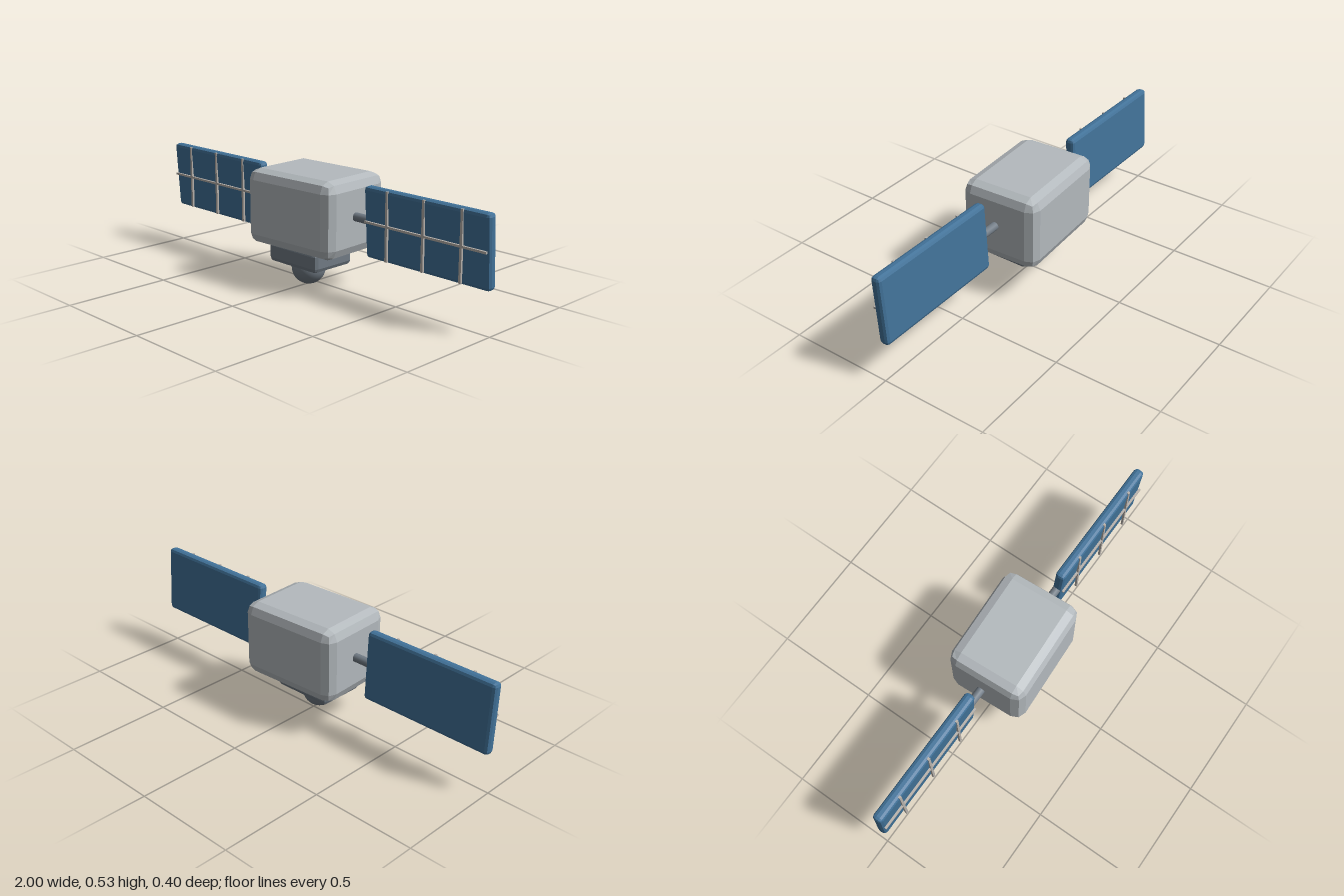
import * as THREE from 'three';
import { RoundedBoxGeometry } from 'three/addons/geometries/RoundedBoxGeometry.js';

const material = (name, color, flatShading = false) => {
  const m = new THREE.MeshStandardMaterial({ color, flatShading });
  m.name = name;
  return m;
};

export function createModel() {
  const model = new THREE.Group();
  model.name = 'satellite';
  const shell = material('light grey shell', 0xb4babe, true);
  const blue = material('solar blue', 0x42739a, true);
  const dark = material('slate grey', 0x727c86, true);
  const metal = material('smooth slate grey', 0x727c86);
  const trim = material('pale trim', 0xb9b3ad);

  const add = (name, geometry, mat, x, y, z, parent = model) => {
    const mesh = new THREE.Mesh(geometry, mat);
    mesh.name = name;
    mesh.position.set(x, y, z);
    parent.add(mesh);
    return mesh;
  };

  // Bevelled body, turned slightly about the vertical
  const body = add('body', new RoundedBoxGeometry(0.512, 0.355, 0.382, 1, 0.05), shell, 0, 0.3535, 0);
  body.rotation.y = 0.05;

  // Sensor housing and dome underneath
  add('sensorHousing', new RoundedBoxGeometry(0.306, 0.1, 0.238, 1, 0.022), dark, 0, 0.147, 0.031);
  add('sensorDome', new THREE.SphereGeometry(0.079, 32, 20), metal, 0, 0.08, 0.04);

  // Solar wings on both sides
  for (const side of [-1, 1]) {
    const wing = new THREE.Group();
    wing.name = side > 0 ? 'leftWing' : 'rightWing';
    model.add(wing);

    const arm = add('wingArm', new THREE.CylinderGeometry(0.02, 0.02, 0.18, 16), metal, side * 0.28, 0.358, 0, wing);
    arm.rotation.z = Math.PI / 2;

    const panel = add('solarPanel', new RoundedBoxGeometry(0.667, 0.325, 0.048, 1, 0.016), blue, side * 0.6665, 0.354, 0.001, wing);
    panel.rotation.x = 0.06;

    // Upright grid bars on the front of the panel
    for (const x of [0.467, 0.667, 0.866]) {
      add('gridUpright', new THREE.BoxGeometry(0.012, 0.31, 0.01), trim, side * x, 0.358, 0.0313, wing);
    }
    add('gridRail', new THREE.BoxGeometry(0.65, 0.01, 0.01), trim, side * 0.6665, 0.358, 0.0313, wing);
  }
  return model;
}
